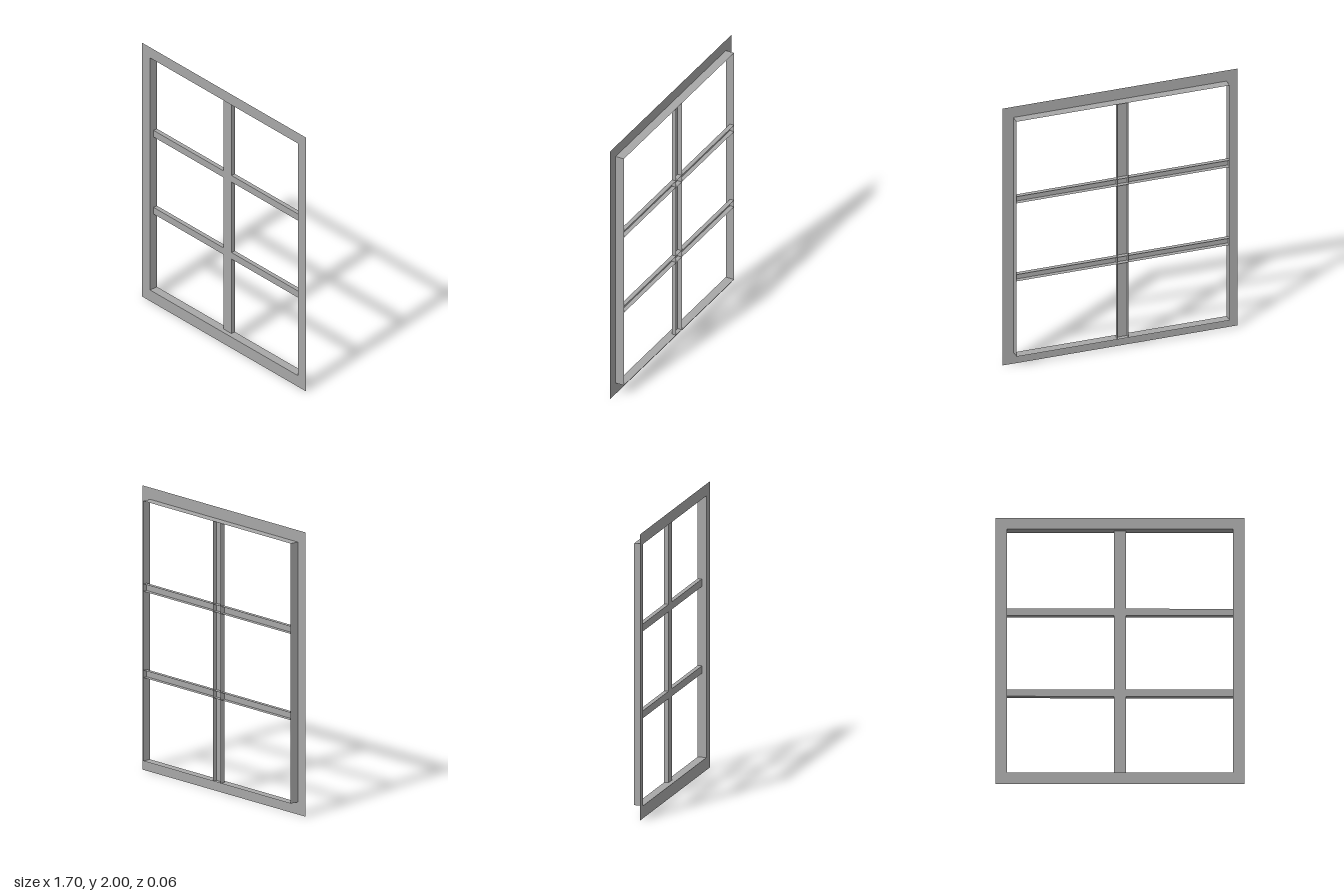
import * as THREE from 'three';

const W = 0.85, H = 2;                    // outer half width and height
const IN = 0.77, BOTTOM = 0.087, TOP = 1.917; // opening
const FRONT = 0.032, MID = 0, BACK = -0.032;  // depth planes

export function createModel() {
  const group = new THREE.Group();
  const grey = new THREE.MeshStandardMaterial({ color: 0xa8a8a8, side: THREE.DoubleSide });
  grey.name = 'grey frame';

  const add = (name, geometry, parent = group) => {
    const mesh = new THREE.Mesh(geometry, grey);
    mesh.name = name;
    parent.add(mesh);
    return mesh;
  };
  const part = (name) => {
    const g = new THREE.Group();
    g.name = name;
    group.add(g);
    return g;
  };

  // Flat sheet facing the front
  const sheet = (name, x0, x1, y0, y1, z, parent) =>
    add(name, new THREE.PlaneGeometry(x1 - x0, y1 - y0), parent)
      .position.set((x0 + x1) / 2, (y0 + y1) / 2, z);

  // Upright wall at x, its normal turned to the side given by sign
  const sideWall = (name, x, y0, y1, z0, sign, parent) => {
    const g = new THREE.PlaneGeometry(z0 - BACK, y1 - y0).rotateY(sign * Math.PI / 2);
    add(name, g, parent).position.set(x, (y0 + y1) / 2, (z0 + BACK) / 2);
  };

  // Level wall at y, its normal turned up (1) or down (-1)
  const levelWall = (name, y, x0, x1, z0, sign, parent) => {
    const g = new THREE.PlaneGeometry(x1 - x0, z0 - BACK).rotateX(-sign * Math.PI / 2);
    add(name, g, parent).position.set((x0 + x1) / 2, y, (z0 + BACK) / 2);
  };

  // Outer frame: a front sheet with a thin lining round the opening
  const frame = part('outerFrame');
  const outline = new THREE.Shape([
    new THREE.Vector2(-W, 0), new THREE.Vector2(W, 0),
    new THREE.Vector2(W, H), new THREE.Vector2(-W, H),
  ]);
  outline.holes.push(new THREE.Path([
    new THREE.Vector2(-IN, BOTTOM), new THREE.Vector2(-IN, TOP),
    new THREE.Vector2(IN, TOP), new THREE.Vector2(IN, BOTTOM),
  ]));
  add('frameFace', new THREE.ShapeGeometry(outline), frame).position.z = FRONT;
  for (const s of [-1, 1]) sideWall('frameSideLining', s * IN, BOTTOM, TOP, FRONT, -s, frame);
  levelWall('frameSill', BOTTOM, -IN, IN, FRONT, 1, frame);
  levelWall('frameHead', TOP, -IN, IN, FRONT, -1, frame);

  // Upright mullion: a channel open at the back
  const m = 0.04;
  const mullion = part('mullion');
  sheet('mullionFace', -m, m, BOTTOM, TOP, MID, mullion);
  for (const s of [-1, 1]) sideWall('mullionSide', s * m, BOTTOM, TOP, MID, s, mullion);

  // Two glazing bars, also channels, crossing the mullion
  const b = 0.026;
  for (const [name, y] of [['lowerBar', 0.7], ['upperBar', 1.307]]) {
    const bar = part(name);
    sheet('barFaceRight', -IN, -m, y - b, y + b, MID, bar);
    sheet('barFaceLeft', m, IN, y - b, y + b, MID, bar);
    for (const s of [-1, 1]) levelWall('barEdge', y + s * b, -IN, IN, MID, s, bar);
  }

  return group;
}
